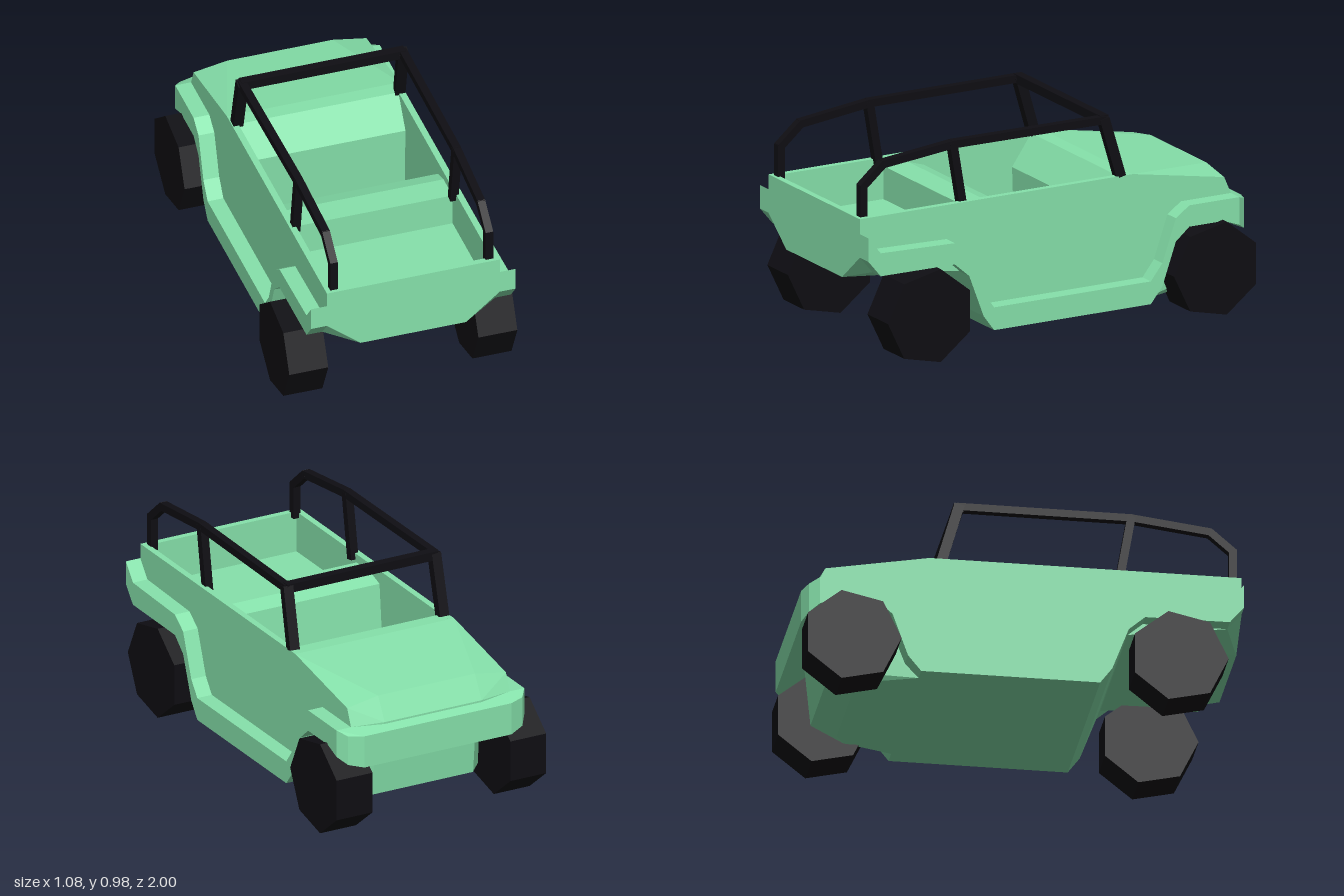
import * as THREE from 'three';
import { ConvexGeometry } from 'three/addons/geometries/ConvexGeometry.js';

const green = new THREE.MeshStandardMaterial({ color: 0x86e2ab, flatShading: true });
const black = new THREE.MeshStandardMaterial({ color: 0x0f0e13, flatShading: true });

function add(parent, name, geometry, material) {
  const mesh = new THREE.Mesh(geometry, material);
  mesh.name = name;
  parent.add(mesh);
  return mesh;
}

// Leave out the faces buried in a neighbouring part: hidden(normal, centre)
function openFaces(geometry, hidden) {
  const p = geometry.attributes.position;
  const tri = new THREE.Triangle(), normal = new THREE.Vector3(), centre = new THREE.Vector3();
  const kept = [];
  for (let i = 0; i < p.count; i += 3) {
    tri.setFromAttributeAndIndices(p, i, i + 1, i + 2);
    tri.getNormal(normal);
    tri.getMidpoint(centre);
    if (!hidden(normal, centre)) kept.push(tri.a.clone(), tri.b.clone(), tri.c.clone());
  }
  const open = new THREE.BufferGeometry().setFromPoints(kept);
  open.computeVertexNormals();
  return open;
}

// Extrude a side profile of [z, y] points from x0 to x1
function sideExtrude(points, x0, x1) {
  const shape = new THREE.Shape(points.map(([z, y]) => new THREE.Vector2(z, y)));
  const g = new THREE.ExtrudeGeometry(shape, { depth: x1 - x0, bevelEnabled: false });
  return g.rotateY(-Math.PI / 2).translate(x1, 0, 0);
}

// Convex block from [x, y, z] corners, mirrored in x
function mirroredHull(corners) {
  const pts = [];
  for (const [x, y, z] of corners) {
    for (const s of [1, -1]) pts.push(new THREE.Vector3(s * x, y, z));
  }
  return new ConvexGeometry(pts);
}

// Square bar between two points
function bar(parent, name, a, b, size) {
  const from = new THREE.Vector3(...a), to = new THREE.Vector3(...b);
  const mesh = add(parent, name, new THREE.BoxGeometry(size, size, from.distanceTo(to) + size * 0.4), black);
  mesh.position.copy(from).add(to).multiplyScalar(0.5);
  mesh.lookAt(to);
}

export function createModel() {
  const model = new THREE.Group();
  model.name = 'openTopVehicle';
  const body = new THREE.Group();
  body.name = 'body';
  body.position.x = 0.02;
  model.add(body);

  // Edges of the flared sill strip, from the +z end to the -z end
  const upper = [[1, 0.625], [0.935, 0.545], [0.55, 0.535], [0.475, 0.48], [0.4, 0.275], [0.345, 0.203],
    [-0.47, 0.203], [-0.53, 0.28], [-0.6, 0.48], [-0.67, 0.53], [-0.93, 0.53]];
  const lower = [[1, 0.515], [0.935, 0.437], [0.55, 0.435], [0.475, 0.37], [0.4, 0.17], [0.345, 0.096],
    [-0.47, 0.096], [-0.53, 0.17], [-0.6, 0.37], [-0.67, 0.43], [-0.93, 0.43]];
  const wall = [...lower, [-0.93, 0.53], [-0.89, 0.61], [-0.42, 0.695], [1, 0.695]];
  const strip = [...lower, ...[...upper].reverse()];
  for (const s of [1, -1]) {
    const span = (a, b) => (s > 0 ? [a, b] : [-b, -a]);
    add(body, 'sideWall', sideExtrude(wall, ...span(0.38, 0.41)), green);
    const flare = sideExtrude(strip, ...span(0.41, 0.485));
    add(body, 'flareStrip', openFaces(flare, (n) => n.x * s < -0.9), green);
  }

  // Cabin: cargo deck, bench, seat, footwell, dash and belly
  const cabin = [[1, 0.695], [0.97, 0.695], [0.97, 0.5], [0.42, 0.5], [0.42, 0.655], [0.29, 0.655],
    [0.21, 0.63], [0.19, 0.41], [0, 0.41], [0, 0.25], [-0.26, 0.25], [-0.25, 0.55], [-0.35, 0.694],
    [-0.47, 0.6], [-0.47, 0.096], [0.345, 0.096], [0.4, 0.17], [0.475, 0.37], [0.55, 0.435],
    [0.935, 0.437], [1, 0.515]];
  const cabinShell = openFaces(sideExtrude(cabin, -0.38, 0.38),
    (n, c) => Math.abs(n.x) > 0.9 || c.z < -0.36);
  add(body, 'cabin', cabinShell, green);

  // Bevelled underside of the cargo end
  add(body, 'tailUnderside', openFaces(mirroredHull([
    [0.25, 0.383, 1], [0.41, 0.515, 1], [0.41, 0.437, 0.935],
    [0.25, 0.375, 0.473], [0.41, 0.435, 0.55], [0.41, 0.375, 0.473],
  ]), (n) => n.y > 0.5), green);

  // Hood
  add(body, 'hood', openFaces(mirroredHull([
    [0.41, 0.694, -0.35], [0.41, 0.695, -0.42],
    [0.41, 0.61, -0.895], [0.25, 0.638, -0.895], [0.41, 0.53, -0.93], [0.25, 0.53, -0.955],
    [0.41, 0.44, -0.93], [0.25, 0.44, -0.955], [0.38, 0.44, -0.45],
  ]), (n) => n.z > 0.5), green);

  // Wraparound bumper
  add(body, 'bumper', openFaces(mirroredHull([
    [0.485, 0.53, -0.85], [0.485, 0.43, -0.85], [0.485, 0.53, -0.93], [0.485, 0.4, -0.93],
    [0.45, 0.51, -0.975], [0.45, 0.37, -0.975], [0.38, 0.505, -1], [0.38, 0.352, -1],
  ]), (n) => n.z > 0.9), green);

  // Narrow engine bay between the wheels, with the belly continuing under it
  add(body, 'engineBay', openFaces(mirroredHull([
    [0.408, 0.096, -0.47], [0.408, 0.44, -0.47], [0.33, 0.096, -0.57], [0.33, 0.44, -0.57],
    [0.33, 0.096, -0.7], [0.33, 0.14, -0.78], [0.33, 0.44, -0.8],
    [0.26, 0.096, -0.74], [0.26, 0.14, -0.86], [0.26, 0.44, -0.89],
  ]), (n) => n.y > 0.9 || n.z > 0.9), green);

  // Seven-sided wheels
  for (const z of [0.694, -0.794]) {
    for (const s of [1, -1]) {
      const g = new THREE.CylinderGeometry(0.224, 0.224, 0.185, 7).rotateZ(Math.PI / 2);
      add(model, 'wheel', g, black).position.set(s * 0.4485, 0.2185, z);
    }
  }

  // Roll cage: one rail and two posts per side, plus a cross bar
  const cage = new THREE.Group();
  cage.name = 'rollCage';
  model.add(cage);
  const tops = [];
  for (const [front, top, rear] of [[-0.362, -0.364, -0.35], [0.408, 0.398, 0.387]]) {
    const rail = [[rear, 0.68, 0.965], [rear, 0.835, 0.965], [rear, 0.925, 0.86],
      [(top + rear) / 2, 0.966, 0.5], [top, 0.964, -0.285]];
    for (let i = 1; i < rail.length; i++) bar(cage, 'sideRail', rail[i - 1], rail[i], 0.036);
    bar(cage, 'middlePost', rail[3], [(top + rear) / 2, 0.67, 0.45], 0.038);
    bar(cage, 'windshieldPost', rail[4], [front, 0.7, -0.36], 0.047);
    tops.push(rail[4]);
  }
  bar(cage, 'crossBar', tops[0], tops[1], 0.042);

  return model;
}
